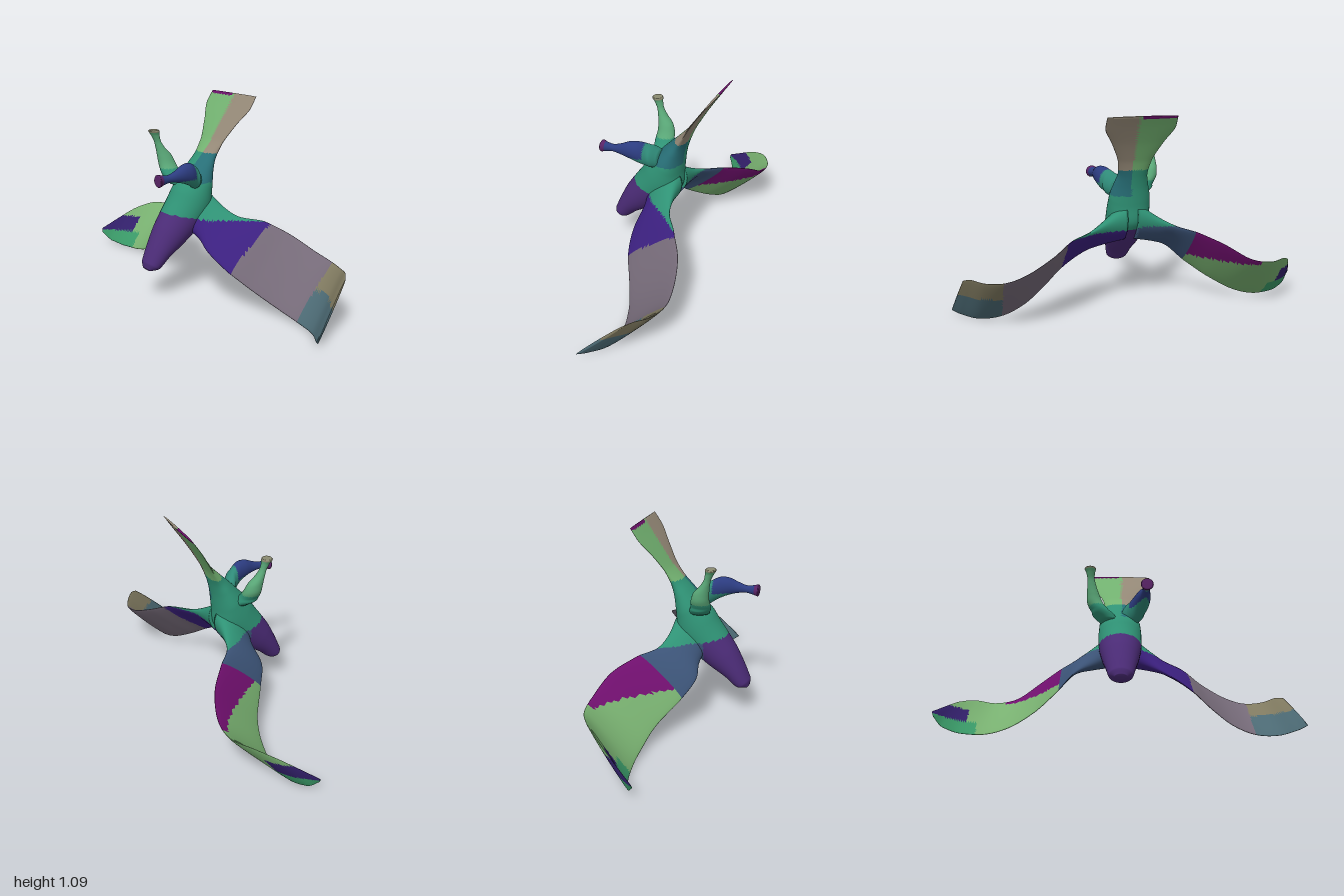
import * as THREE from 'three';

const V = (x, y, z) => new THREE.Vector3(x, y, z);
const RING = 40;

// Skin over smooth elliptical cross-sections {c, u, v}; u x v points along the path.
function loft(sections, rows) {
  const curves = ['c', 'u', 'v'].map(k => new THREE.CatmullRomCurve3(sections.map(s => s[k])));
  const pos = [], idx = [];
  for (let i = 0; i <= rows; i++) {
    const [c, u, v] = curves.map(q => q.getPoint(i / rows));
    for (let j = 0; j < RING; j++) {
      const a = j / RING * Math.PI * 2;
      const p = c.clone().addScaledVector(u, Math.cos(a)).addScaledVector(v, Math.sin(a));
      pos.push(p.x, p.y, p.z);
    }
  }
  for (let i = 0; i < rows; i++) for (let j = 0; j < RING; j++) {
    const k = (j + 1) % RING, a = i * RING + j, b = i * RING + k;
    idx.push(a, b, b + RING, a, b + RING, a + RING);
  }
  // End caps
  const start = sections[0].c, end = sections[sections.length - 1].c;
  const s = pos.length / 3, last = rows * RING;
  pos.push(start.x, start.y, start.z, end.x, end.y, end.z);
  for (let j = 0; j < RING; j++) {
    const k = (j + 1) % RING;
    idx.push(s, k, j, s + 1, last + j, last + k);
  }
  const geo = new THREE.BufferGeometry();
  geo.setAttribute('position', new THREE.Float32BufferAttribute(pos, 3));
  geo.setIndex(idx);
  geo.computeVertexNormals();
  return geo;
}

// Split a skin into one mesh per colour, keeping its smooth normals.
function painted(name, geo, colorAt) {
  const group = new THREE.Group();
  group.name = name;
  const pos = geo.attributes.position, index = geo.index.array, patches = new Map();
  for (let i = 0; i < index.length; i += 3) {
    const p = V(0, 0, 0);
    for (let j = 0; j < 3; j++) p.add(V().fromBufferAttribute(pos, index[i + j]));
    const color = colorAt(p.divideScalar(3));
    if (!patches.has(color)) patches.set(color, []);
    patches.get(color).push(index[i], index[i + 1], index[i + 2]);
  }
  for (const [color, tris] of patches) {
    const g = new THREE.BufferGeometry();
    g.setAttribute('position', pos);
    g.setAttribute('normal', geo.attributes.normal);
    g.setIndex(tris);
    const mesh = new THREE.Mesh(g, new THREE.MeshStandardMaterial({ color }));
    mesh.name = name + 'Patch';
    group.add(mesh);
  }
  return group;
}

// Body rows: front z, front y, back z, back y, half width
const BODY = [
  [0.345, 0.195, 0.325, 0.175, 0.03], [0.345, 0.23, 0.27, 0.177, 0.062],
  [0.31, 0.31, 0.2, 0.235, 0.08], [0.26, 0.41, 0.1, 0.3, 0.1],
  [0.2, 0.5, 0, 0.38, 0.115], [0.14, 0.59, -0.07, 0.47, 0.12],
  [0.07, 0.67, -0.08, 0.58, 0.115], [0.01, 0.735, -0.09, 0.68, 0.095],
  [-0.04, 0.785, -0.105, 0.75, 0.083], [-0.105, 0.855, -0.135, 0.84, 0.095],
  [-0.17, 0.95, -0.188, 0.943, 0.14], [-0.235, 1.045, -0.247, 1.04, 0.19],
  [-0.272, 1.1, -0.283, 1.095, 0.188],
];

// Wing rows: lower front edge x y z, upper back edge x y z, half thickness
const ROOT = [
  [0.03, 0.38, 0.08, 0.03, 0.58, -0.06, 0.09], [0.15, 0.345, 0.085, 0.15, 0.5, -0.085, 0.05],
  [0.24, 0.3, 0.1, 0.24, 0.46, -0.115, 0.026],
];
const LEFT_WING = [...ROOT,
  [0.38, 0.215, 0.07, 0.36, 0.445, -0.2, 0.016], [0.5, 0.13, 0, 0.48, 0.385, -0.28, 0.013],
  [0.62, 0.06, -0.06, 0.62, 0.32, -0.325, 0.012], [0.74, 0.02, -0.085, 0.73, 0.29, -0.335, 0.011],
  [0.86, 0.01, -0.065, 0.83, 0.285, -0.3, 0.01], [0.95, 0.02, 0, 0.9, 0.295, -0.25, 0.009],
  [0.995, 0.035, 0.035, 0.935, 0.28, -0.21, 0.007],
];
const RIGHT_WING = [...ROOT,
  [0.34, 0.21, 0.04, 0.34, 0.44, -0.2, 0.016], [0.47, 0.12, -0.045, 0.47, 0.385, -0.3, 0.013],
  [0.6, 0.05, -0.08, 0.6, 0.31, -0.345, 0.012], [0.72, 0.015, -0.085, 0.72, 0.285, -0.34, 0.011],
  [0.85, 0.01, -0.06, 0.82, 0.28, -0.28, 0.01], [0.94, 0.03, -0.02, 0.9, 0.235, -0.18, 0.009],
  [0.99, 0.08, 0.015, 1, 0.11, 0.01, 0.007],
];

function wingGeometry(rows, side) {
  return loft(rows.map(([lx, ly, lz, tx, ty, tz, t]) => {
    const low = V(lx * side, ly, lz), top = V(tx * side, ty, tz);
    const u = top.clone().sub(low).multiplyScalar(0.5);
    const v = V(side, 0, 0).cross(u).normalize().multiplyScalar(t);
    return { c: low.add(top).multiplyScalar(0.5), u, v };
  }), 90);
}

// Leg rows: centre x y z, then the two radii along the given axes
function legGeometry(rows, uAxis, vAxis) {
  return loft(rows.map(([x, y, z, a, b]) => ({
    c: V(x, y, z), u: uAxis.clone().multiplyScalar(a), v: vAxis.clone().multiplyScalar(b),
  })), 48);
}

export function createModel() {
  const model = new THREE.Group();
  model.name = 'bird';

  // Head, body and fanned tail
  const body = loft(BODY.map(([fz, fy, bz, by, w]) => ({
    c: V(0, (fy + by) / 2, (fz + bz) / 2),
    u: V(-w, 0, 0),
    v: V(0, (fy - by) / 2, (fz - bz) / 2),
  })), 110);
  model.add(painted('body', body, p => {
    if (p.y > 1.085 && p.x < 0) return 0x6a1068;
    if (p.y > 0.79) return p.x > 0.01 ? 0x968a78 : 0x74b472;
    if (p.y > 0.64 && p.x > 0.01) return 0x287078;
    if (p.y > 0.44 + 0.2 * Math.max(p.z, 0)) return 0x2f9275;
    return p.x < -0.06 && p.z < 0.1 ? 0x3c5478 : 0x4c2c78;
  }));

  // Wings
  model.add(painted('leftWing', wingGeometry(LEFT_WING, 1), p => {
    if (p.y > 0.445) return 0x2f9275;
    if (p.x < 0.39) return 0x3c2080;
    if (p.x < 0.74) return 0x756a78;
    return p.y > 0.17 ? 0x807a60 : 0x4c6a74;
  }));
  model.add(painted('rightWing', wingGeometry(RIGHT_WING, -1), p => {
    if (p.y > 0.46) return 0x2f9275;
    if (p.x > -0.33) return 0x3c5478;
    if (p.x > -0.66 && p.y > 0.27) return 0x721070;
    if (p.x < -0.78 && p.y < 0.1) return 0x3a9a68;
    return p.x < -0.84 && p.y < 0.19 ? 0x33206c : 0x78b070;
  }));

  // Left leg, stretched forward
  model.add(painted('leftLeg', legGeometry([
    [0.05, 0.66, 0.03, 0.05, 0.05], [0.085, 0.685, 0.08, 0.05, 0.065],
    [0.115, 0.71, 0.13, 0.045, 0.062], [0.128, 0.719, 0.18, 0.038, 0.05],
    [0.135, 0.715, 0.23, 0.026, 0.032], [0.137, 0.71, 0.28, 0.019, 0.021],
    [0.138, 0.708, 0.32, 0.024, 0.027], [0.139, 0.708, 0.345, 0.034, 0.034],
    [0.139, 0.708, 0.35, 0.03, 0.028],
  ], V(1, 0, 0), V(0, 1, 0)),
  p => p.z > 0.325 ? 0x5a2468 : p.z > 0.1 && p.y > 0.685 ? 0x2c3c80 : 0x2f8a78));

  // Right leg, raised
  model.add(painted('rightLeg', legGeometry([
    [-0.06, 0.62, 0.06, 0.06, 0.05], [-0.105, 0.67, 0.085, 0.056, 0.05],
    [-0.138, 0.72, 0.09, 0.05, 0.044], [-0.15, 0.765, 0.1, 0.043, 0.036],
    [-0.158, 0.81, 0.122, 0.026, 0.026], [-0.163, 0.85, 0.138, 0.019, 0.02],
    [-0.166, 0.885, 0.15, 0.024, 0.024], [-0.168, 0.906, 0.157, 0.03, 0.032],
    [-0.168, 0.912, 0.157, 0.026, 0.028],
  ], V(0, 0, 1), V(1, 0, 0)),
  p => p.y > 0.9 ? 0x8a8a70 : p.y > 0.7 ? 0x5aa878 : 0x2f9275));

  return model;
}
